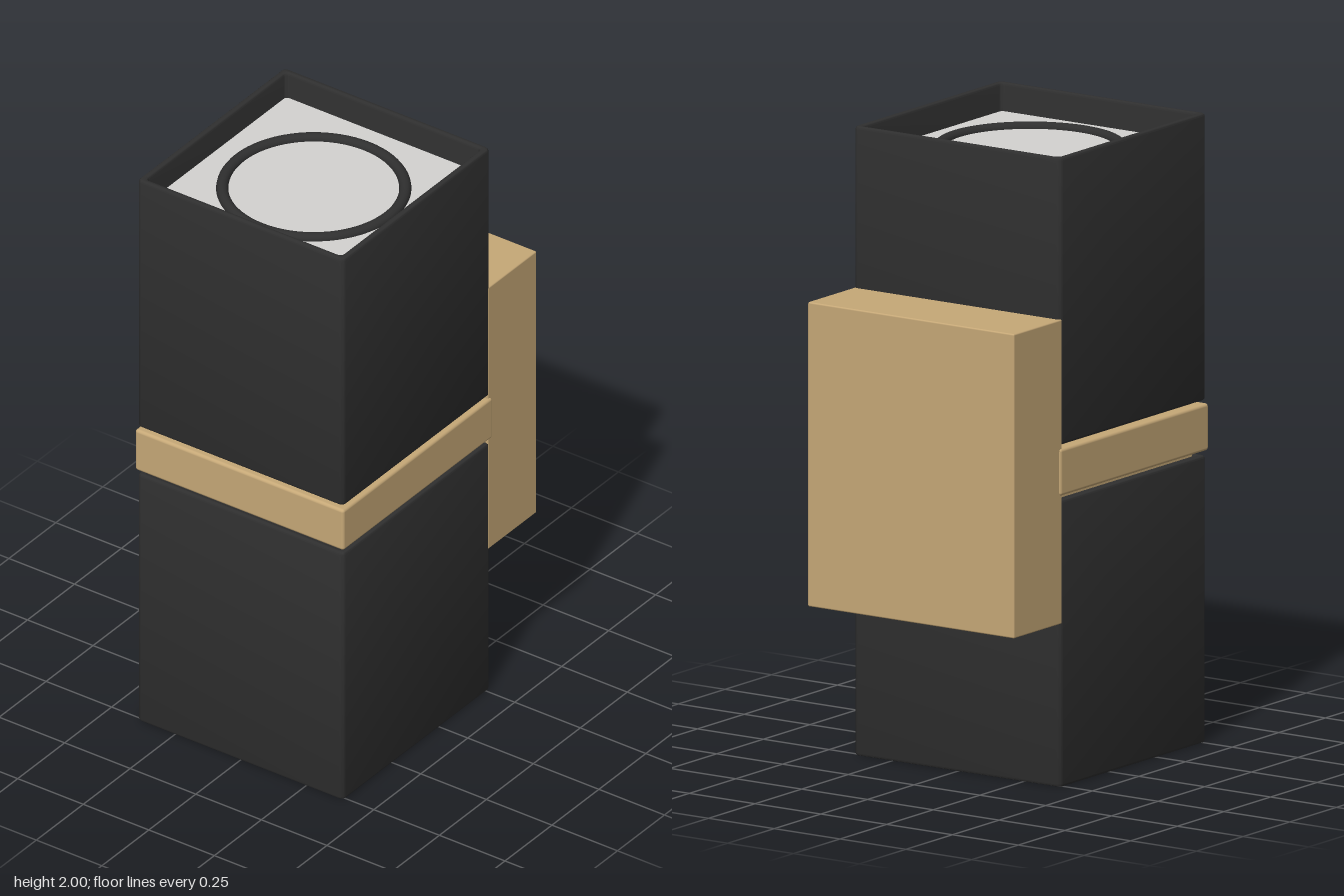
import * as THREE from 'three';
import { toCreasedNormals } from 'three/addons/utils/BufferGeometryUtils.js';
import { RoundedBoxGeometry } from 'three/addons/geometries/RoundedBoxGeometry.js';

const black = new THREE.MeshStandardMaterial({ color: 0x2f2f2f });
black.name = 'matte black';
const tan = new THREE.MeshStandardMaterial({ color: 0xc6a877 });
tan.name = 'light wood';
const frosted = new THREE.MeshStandardMaterial({ color: 0xd4d3d1 });
frosted.name = 'frosted panel';

const CENTER_Z = 0.122; // axis of the lamp column

function addMesh(parent, name, geometry, material, x = 0, y = 0, z = 0) {
  const mesh = new THREE.Mesh(geometry, material);
  mesh.name = name;
  mesh.position.set(x, y, z);
  parent.add(mesh);
  return mesh;
}

// Square outline with rounded corners, h = half width
function roundedSquare(PathType, h, r) {
  const p = new PathType();
  p.moveTo(h, -h + r);
  p.absarc(h - r, h - r, r, 0, Math.PI / 2);
  p.absarc(-h + r, h - r, r, Math.PI / 2, Math.PI);
  p.absarc(-h + r, -h + r, r, Math.PI, Math.PI * 1.5);
  p.absarc(h - r, -h + r, r, Math.PI * 1.5, Math.PI * 2);
  p.closePath();
  return p;
}

// Half of the lamp, pointing up from the middle band (local y = 0)
function createShade(name) {
  const shade = new THREE.Group();
  shade.name = name;
  const bottom = 0.088, bevel = 0.008;

  // Hollow square sleeve with softened rims
  const outline = roundedSquare(THREE.Shape, 0.393, 0.018);
  outline.holes.push(roundedSquare(THREE.Path, 0.371, 0.012));
  const sleeve = new THREE.ExtrudeGeometry(outline, {
    depth: 1 - bottom - 2 * bevel, curveSegments: 5,
    bevelEnabled: true, bevelThickness: bevel, bevelSize: bevel,
    bevelOffset: -bevel, bevelSegments: 3,
  });
  sleeve.translate(0, 0, bevel).rotateX(-Math.PI / 2);
  addMesh(shade, 'sleeve', toCreasedNormals(sleeve, 0.7), black, 0, bottom, 0);

  // Closed inner end, recessed diffuser and its trim ring
  addMesh(shade, 'innerCap', new THREE.BoxGeometry(0.75, 0.02, 0.75), black, 0, bottom + 0.013, 0);
  addMesh(shade, 'diffuser', new THREE.BoxGeometry(0.746, 0.02, 0.746), frosted, 0, 0.9, 0);
  const ring = new THREE.TorusGeometry(0.284, 0.019, 16, 72).rotateX(Math.PI / 2);
  addMesh(shade, 'trimRing', ring, black, 0, 0.91, 0);
  return shade;
}

export function createModel() {
  const lamp = new THREE.Group();
  lamp.name = 'wallLamp';

  // Upper and lower shades
  for (const [name, turn] of [['upperShade', 0], ['lowerShade', Math.PI]]) {
    const shade = createShade(name);
    shade.position.set(0, 1, CENTER_Z);
    shade.rotation.x = turn;
    lamp.add(shade);
  }

  // Middle band and the narrower core behind the shadow gaps
  addMesh(lamp, 'middleBand', new RoundedBoxGeometry(0.796, 0.15, 0.796, 3, 0.01), tan, 0, 1.002, CENTER_Z);
  addMesh(lamp, 'core', new THREE.BoxGeometry(0.72, 0.2, 0.72), tan, 0, 1, CENTER_Z);

  // Wall mounting block
  addMesh(lamp, 'wallBlock', new RoundedBoxGeometry(0.784, 0.968, 0.26, 2, 0.005), tan, 0, 1.003, -0.388);

  return lamp;
}
